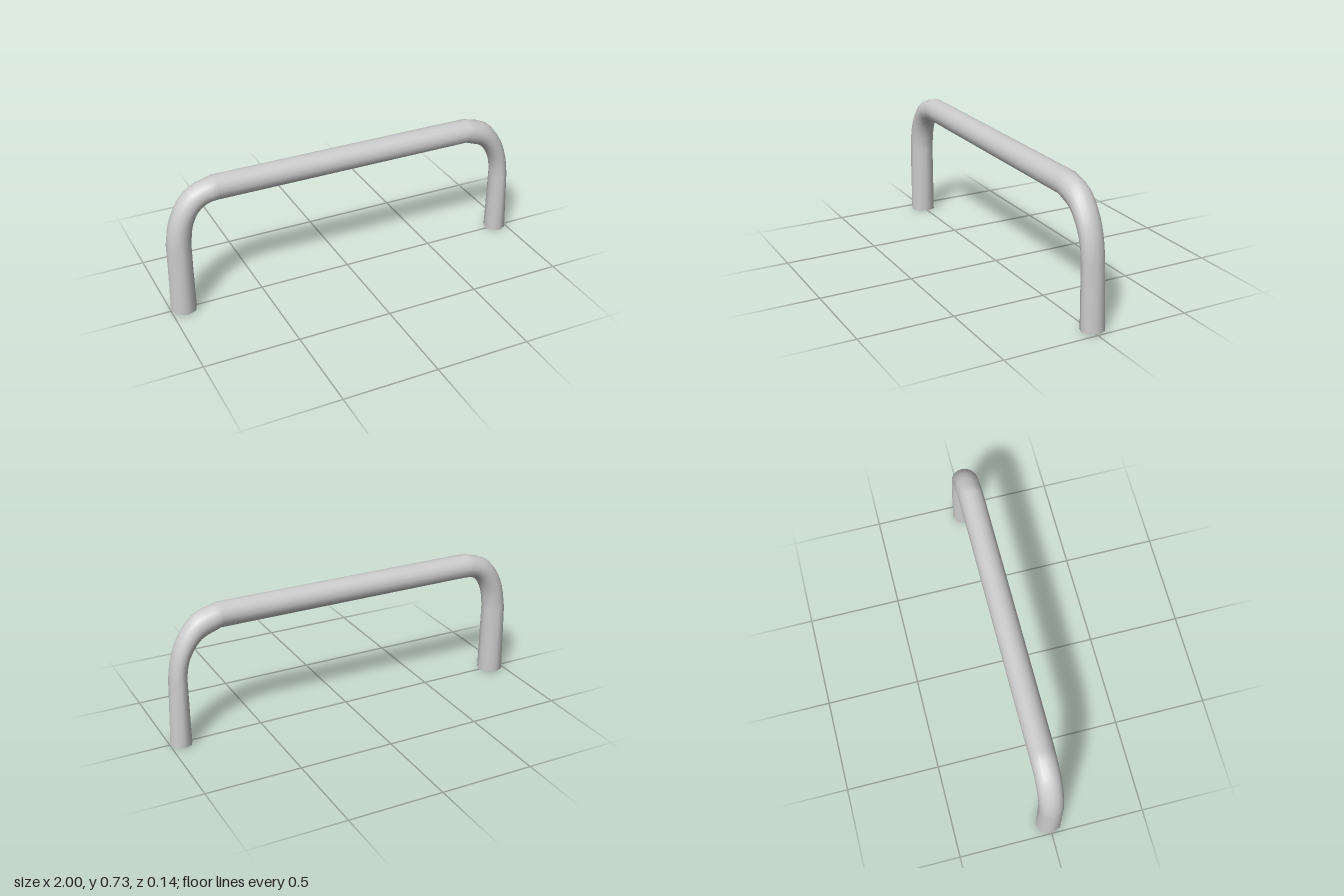
import * as THREE from 'three';

const SIDES = 16;

// Each station: outer x, outer y, inner x, inner y, half-depth in z, z offset
const leftFoot = [-1, 0.003, -0.862, 0, 0.07, 0];
const leftBend = [
  [-0.993, 0.385, -0.866, 0.385, 0.065, 0],
  [-0.97, 0.51, -0.85, 0.49, 0.065, 0],
  [-0.925, 0.61, -0.813, 0.56, 0.065, 0],
  [-0.855, 0.685, -0.765, 0.593, 0.065, 0],
  [-0.73, 0.727, -0.71, 0.598, 0.066, 0],
];
const rightBend = [
  [0.7, 0.727, 0.7, 0.598, 0.066, 0],
  [0.83, 0.685, 0.805, 0.553, 0.065, 0],
  [0.92, 0.578, 0.864, 0.47, 0.062, -0.001],
  [0.963, 0.465, 0.883, 0.405, 0.06, -0.002],
  [0.98, 0.36, 0.888, 0.345, 0.06, -0.003],
];
const rightFoot = [1, 0.005, 0.882, 0, 0.062, -0.007];

// Smoothly resample the stations of a bend
function smoothBend(stations, steps) {
  const curve = (a, b, c) => new THREE.CatmullRomCurve3(
    stations.map((s) => new THREE.Vector3(s[a], s[b], s[c])));
  const outer = curve(0, 1, 4);
  const inner = curve(2, 3, 5);
  return Array.from({ length: steps + 1 }, (_, i) => {
    const o = outer.getPoint(i / steps);
    const n = inner.getPoint(i / steps);
    return [o.x, o.y, n.x, n.y, o.z, n.z];
  });
}

// Closed cross-section; feet flatten from round to octagonal
function ring([ox, oy, ix, iy, rz, zc], octagonal) {
  return Array.from({ length: SIDES }, (_, j) => {
    const a = (j / SIDES) * Math.PI * 2;
    const k = octagonal && j % 2 ? Math.cos(Math.PI / 8) : 1;
    const c = Math.cos(a) * k * 0.5;
    return [
      (ox + ix) / 2 + (ox - ix) * c,
      (oy + iy) / 2 + (oy - iy) * c,
      zc + rz * Math.sin(a) * k,
    ];
  });
}

function geometryFrom(points, index) {
  const geometry = new THREE.BufferGeometry();
  geometry.setAttribute('position', new THREE.Float32BufferAttribute(points.flat(), 3));
  geometry.setIndex(index);
  geometry.computeVertexNormals();
  return geometry;
}

export function createModel() {
  const group = new THREE.Group();
  group.name = 'barHandle';
  const material = new THREE.MeshStandardMaterial({ color: 0xcccccc });
  const add = (name, geometry) => {
    const mesh = new THREE.Mesh(geometry, material);
    mesh.name = name;
    group.add(mesh);
  };

  const stations = [leftFoot, ...smoothBend(leftBend, 12), ...smoothBend(rightBend, 12), rightFoot];
  const last = stations.length - 1;
  const rings = stations.map((s, i) => ring(s, i === 0 || i === last));

  // Bent bar: both legs and the grip in one smooth skin
  const index = [];
  for (let i = 0; i < last; i++) {
    for (let j = 0; j < SIDES; j++) {
      const k = (j + 1) % SIDES;
      const a = i * SIDES + j, b = i * SIDES + k;
      const c = b + SIDES, d = a + SIDES;
      index.push(a, b, c, a, c, d);
    }
  }
  add('bentBar', geometryFrom(rings.flat(), index));

  // Flat end faces under the feet
  const fan = (flip) => {
    const tris = [];
    for (let j = 1; j < SIDES - 1; j++) tris.push(0, flip ? j + 1 : j, flip ? j : j + 1);
    return tris;
  };
  add('rightFootFace', geometryFrom(rings[0], fan(true)));
  add('leftFootFace', geometryFrom(rings[last], fan(false)));

  return group;
}
